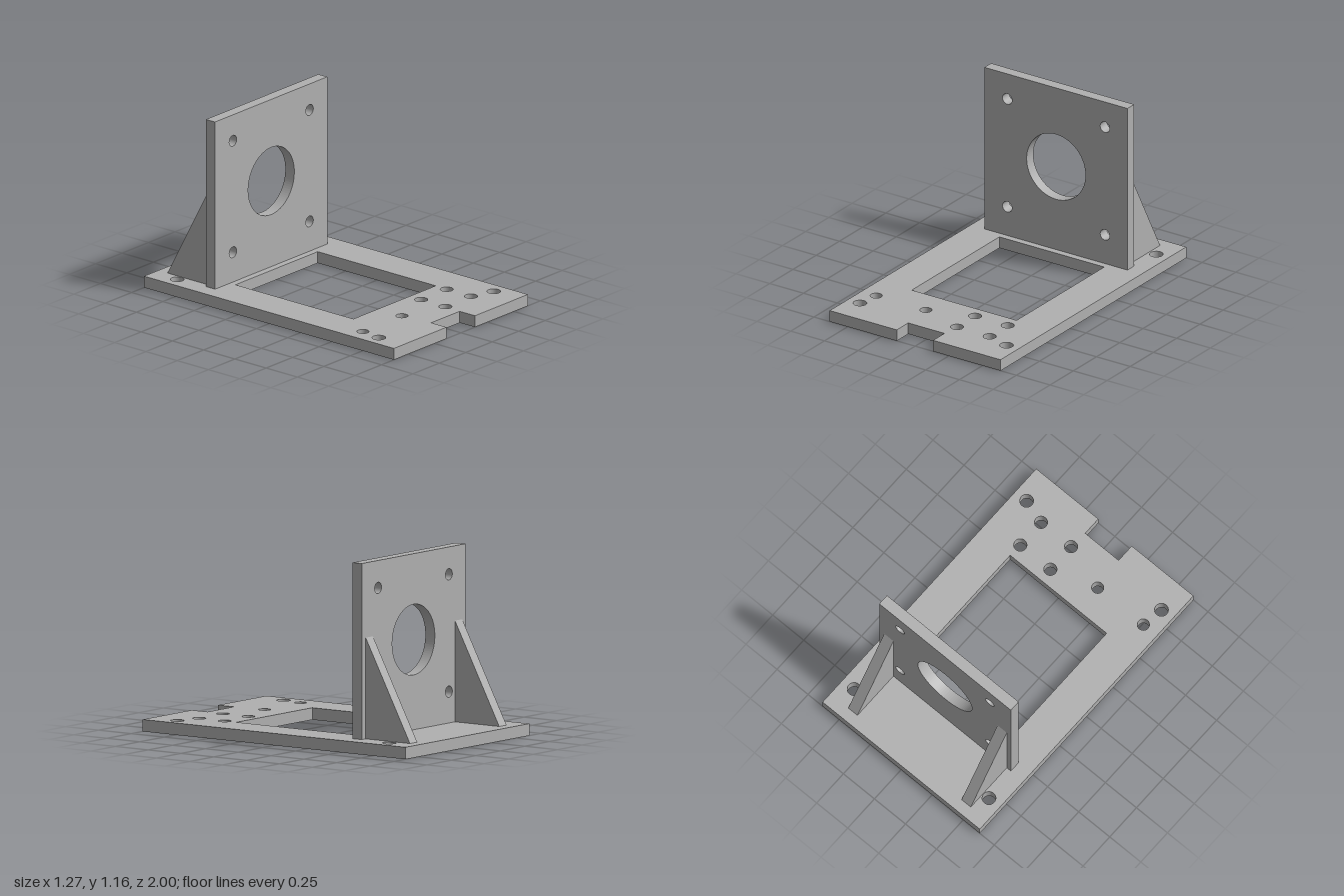
import * as THREE from 'three';

const grey = new THREE.MeshStandardMaterial({ color: 0xb0b0b0 });
grey.name = 'grey';

const polygon = (points) => new THREE.Shape(points.map(([x, y]) => new THREE.Vector2(x, y)));

function drill(shape, x, y, radius) {
  const hole = new THREE.Path();
  hole.absarc(x, y, radius, 0, Math.PI * 2, true);
  shape.holes.push(hole);
}

function extrude(shape, depth) {
  return new THREE.ExtrudeGeometry(shape, { depth, bevelEnabled: false, curveSegments: 48 });
}

export function createModel() {
  const model = new THREE.Group();
  model.name = 'motorMountBracket';
  const add = (name, geometry) => {
    const mesh = new THREE.Mesh(geometry, grey);
    mesh.name = name;
    model.add(mesh);
  };
  const baseTop = 0.074;

  // Base plate, drawn as (x, -z) with a notch in the front edge
  const base = polygon([
    [-0.633, -1], [-0.136, -1], [-0.136, -0.877], [0.133, -0.877],
    [0.133, -1], [0.633, -1], [0.633, 1], [-0.633, 1],
  ]);
  // Rectangular window
  base.holes.push(polygon([[-0.39, -0.47], [-0.39, 0.474], [0.387, 0.474], [0.387, -0.47]]));
  // Corner holes
  for (const x of [-0.544, 0.542]) {
    for (const z of [-0.81, 0.804]) drill(base, x, -z, 0.042);
  }
  // Four-hole pattern
  for (const x of [0.142, 0.384]) {
    for (const z of [0.561, 0.755]) drill(base, x, -z, 0.04);
  }
  // Pair of smaller holes
  for (const x of [-0.523, -0.155]) drill(base, x, -0.659, 0.037);
  add('basePlate', extrude(base, baseTop).rotateX(-Math.PI / 2));

  // Upright face plate with central bore and four bolt holes
  const face = polygon([[-0.531, baseTop], [0.529, baseTop], [0.529, 1.16], [-0.531, 1.16]]);
  drill(face, 0, 0.63, 0.218);
  for (const x of [-0.362, 0.362]) {
    for (const y of [0.267, 0.991]) drill(face, x, y, 0.035);
  }
  add('facePlate', extrude(face, 0.072).translate(0, 0, -0.59));

  // Triangular gussets behind the face plate, drawn as (-z, y)
  const gusset = polygon([[0.59, baseTop], [0.927, baseTop], [0.59, 0.698]]);
  for (const [name, x] of [['rightGusset', -0.498], ['leftGusset', 0.415]]) {
    add(name, extrude(gusset, 0.074).rotateY(Math.PI / 2).translate(x, 0, 0));
  }

  return model;
}
